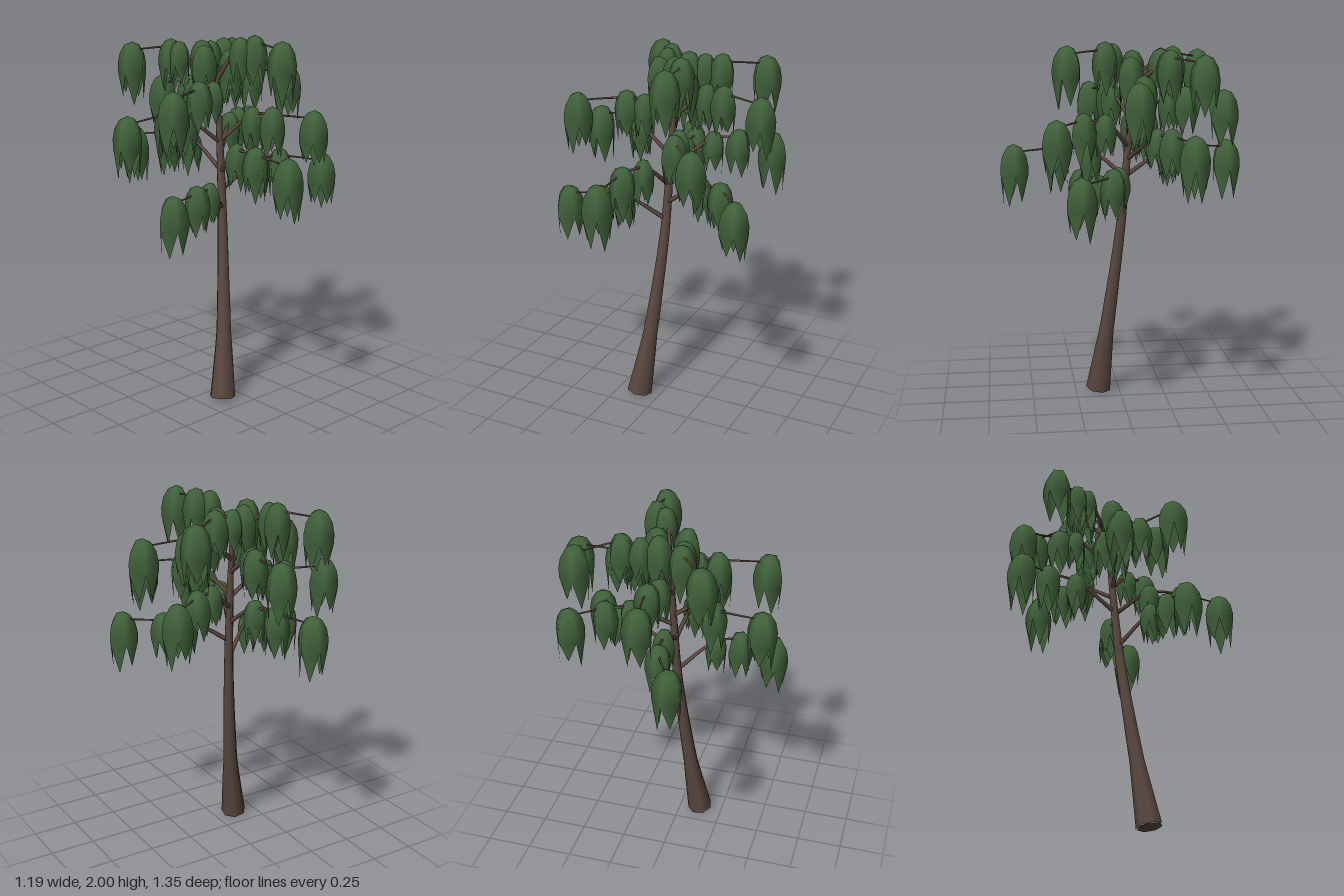
import * as THREE from 'three';

const V = (x, y, z) => new THREE.Vector3(x, y, z);

// Each bough: height, then x, z of its inner, middle and tip tufts
const BOUGHS = [
  [1.26, -0.2, 0.11, -0.325, 0.15, -0.51, 0.18],
  [1.36, 0.23, 0.04, 0.35, 0.08, 0.505, 0.26],
  [1.46, -0.057, 0.165, -0.09, 0.34, -0.1, 0.585],
  [1.47, -0.01, -0.26, -0.03, -0.43, -0.13, -0.61],
  [1.56, 0.2, -0.17, 0.32, -0.23, 0.485, -0.32],
  [1.62, -0.195, -0.08, -0.25, -0.18, -0.505, -0.19],
  [1.63, 0.12, 0.1, 0.15, 0.22, 0.315, 0.37],
  [1.76, 0.015, -0.26, 0.05, -0.345, 0.035, -0.56],
  [1.78, -0.11, 0.04, -0.215, 0.045, -0.465, 0.135],
  [1.83, 0.18, -0.115, 0.29, -0.085, 0.52, -0.03],
  [1.97, -0.11, -0.235, -0.115, -0.3, -0.255, -0.465],
  [1.96, 0.115, -0.235, 0.215, -0.235, 0.41, -0.38],
  [2.0, 0.07, 0.055, 0.13, 0.1, 0.137, 0.3],
];
// Tuft radius and drop below bough height, from the inner tuft to the tip
const TUFT_R = [0.062, 0.071, 0.082];
const TUFT_DROP = [0.01, 0, 0.02];

// Tufts gathered round the top of the trunk
const CROWN = [V(-0.08, 1.95, -0.07), V(0.03, 1.96, -0.21), V(0.09, 1.92, -0.04)];

const TRUNK = [
  V(-0.12, 0.01, 0.12), V(-0.08, 0.3, 0.085), V(-0.047, 0.6, 0.047), V(-0.012, 1.0, 0.0),
  V(0.003, 1.4, -0.035), V(0.012, 1.84, -0.075),
];
const TRUNK_R = [0.072, 0.042, 0.032, 0.025, 0.019, 0.01];

// Round tube whose radius follows a list of values along its length
function taperedTube(points, radii, segments, sides) {
  const curve = new THREE.CatmullRomCurve3(points);
  const geo = new THREE.TubeGeometry(curve, segments, 1, sides);
  const pos = geo.attributes.position;
  const v = new THREE.Vector3();
  for (let i = 0; i <= segments; i++) {
    const centre = curve.getPointAt(i / segments);
    const t = (i / segments) * (radii.length - 1);
    const k = Math.min(Math.floor(t), radii.length - 2);
    const r = THREE.MathUtils.lerp(radii[k], radii[k + 1], t - k);
    for (let j = 0; j <= sides; j++) {
      const n = i * (sides + 1) + j;
      v.fromBufferAttribute(pos, n).sub(centre).multiplyScalar(r).add(centre);
      pos.setXYZ(n, v.x, v.y, v.z);
    }
  }
  return geo;
}

// Point on the trunk axis at a given height
function trunkAt(y) {
  let i = 0;
  while (i < TRUNK.length - 2 && TRUNK[i + 1].y < y) i++;
  const t = (y - TRUNK[i].y) / (TRUNK[i + 1].y - TRUNK[i].y);
  return TRUNK[i].clone().lerp(TRUNK[i + 1], t);
}

// Five-sided drooping tuft, unit radius, hanging down from its apex
function tuftGeometry(rand) {
  const rings = [[0.52, -0.22], [0.86, -0.8], [1, -1.5], [0.98, -2.1]];
  const verts = [0, 0, 0];
  const index = [];
  const at = (ring, k) => 1 + ring * 5 + (k % 5);
  const put = (r, y, a) => verts.push(r * Math.cos(a), y, r * Math.sin(a));
  const step = (Math.PI * 2) / 5;
  for (const [r, y] of rings) for (let k = 0; k < 5; k++) put(r, y, k * step);
  // pointed strand below each side
  for (let k = 0; k < 5; k++) put(0.72, -3.4 - rand() * 0.8, (k + 0.5) * step);
  for (let k = 0; k < 5; k++) {
    index.push(0, at(0, k + 1), at(0, k));
    for (let j = 0; j < rings.length - 1; j++) {
      index.push(at(j, k), at(j, k + 1), at(j + 1, k + 1));
      index.push(at(j, k), at(j + 1, k + 1), at(j + 1, k));
    }
    index.push(at(3, k), at(3, k + 1), at(4, k));
  }
  const geo = new THREE.BufferGeometry();
  geo.setAttribute('position', new THREE.Float32BufferAttribute(verts, 3));
  geo.setIndex(index);
  geo.computeVertexNormals();
  return geo;
}

export function createModel() {
  const bark = new THREE.MeshStandardMaterial({ color: 0x5d4a41 });
  bark.name = 'bark brown';
  const leaf = new THREE.MeshStandardMaterial({ color: 0x41623b, side: THREE.DoubleSide });
  leaf.name = 'leaf green';

  let seed = 11;
  const rand = () => (seed = (seed * 16807) % 2147483647) / 2147483647;

  const tree = new THREE.Group();
  tree.name = 'tree';
  const add = (parent, geo, mat, name) => {
    const mesh = new THREE.Mesh(geo, mat);
    mesh.name = name;
    parent.add(mesh);
    return mesh;
  };
  const addTuft = (parent, apex, radius) => {
    const tuft = add(parent, tuftGeometry(rand), leaf, 'leafTuft');
    tuft.position.copy(apex);
    tuft.scale.setScalar(radius);
    tuft.rotation.y = rand() * Math.PI * 2;
  };
  // Where the wood meets a tuft, just inside its apex
  const insideTuft = (apex) => apex.clone().add(V(0, -0.045, 0));

  // Leaning trunk with a closed foot
  add(tree, taperedTube(TRUNK, TRUNK_R, 20, 7), bark, 'trunk');
  const foot = add(tree, new THREE.CircleGeometry(0.068, 7), bark, 'trunkFoot');
  foot.position.copy(TRUNK[0]);
  foot.lookAt(TRUNK[0].clone().multiplyScalar(2).sub(TRUNK[1]));

  // Boughs rise from the trunk, then level out under their tufts
  for (const [height, ...xz] of BOUGHS) {
    const bough = new THREE.Group();
    bough.name = 'bough';
    const apexes = TUFT_DROP.map((drop, i) => V(xz[2 * i], height - drop, xz[2 * i + 1]));
    const start = trunkAt(Math.min(height - 0.2, 1.76));
    const path = [start, ...apexes.map(insideTuft)];
    add(bough, taperedTube(path, [0.014, 0.009, 0.006, 0.004], 14, 5), bark, 'branch');
    apexes.forEach((apex, i) => addTuft(bough, apex, TUFT_R[i]));
    tree.add(bough);
  }

  // Crown tufts on short twigs
  const top = trunkAt(1.78);
  for (const apex of CROWN) {
    const end = insideTuft(apex);
    const mid = top.clone().lerp(end, 0.5).add(V(0, 0.02, 0));
    add(tree, taperedTube([top, mid, end], [0.01, 0.005], 6, 5), bark, 'twig');
    addTuft(tree, apex, 0.072);
  }
  return tree;
}
